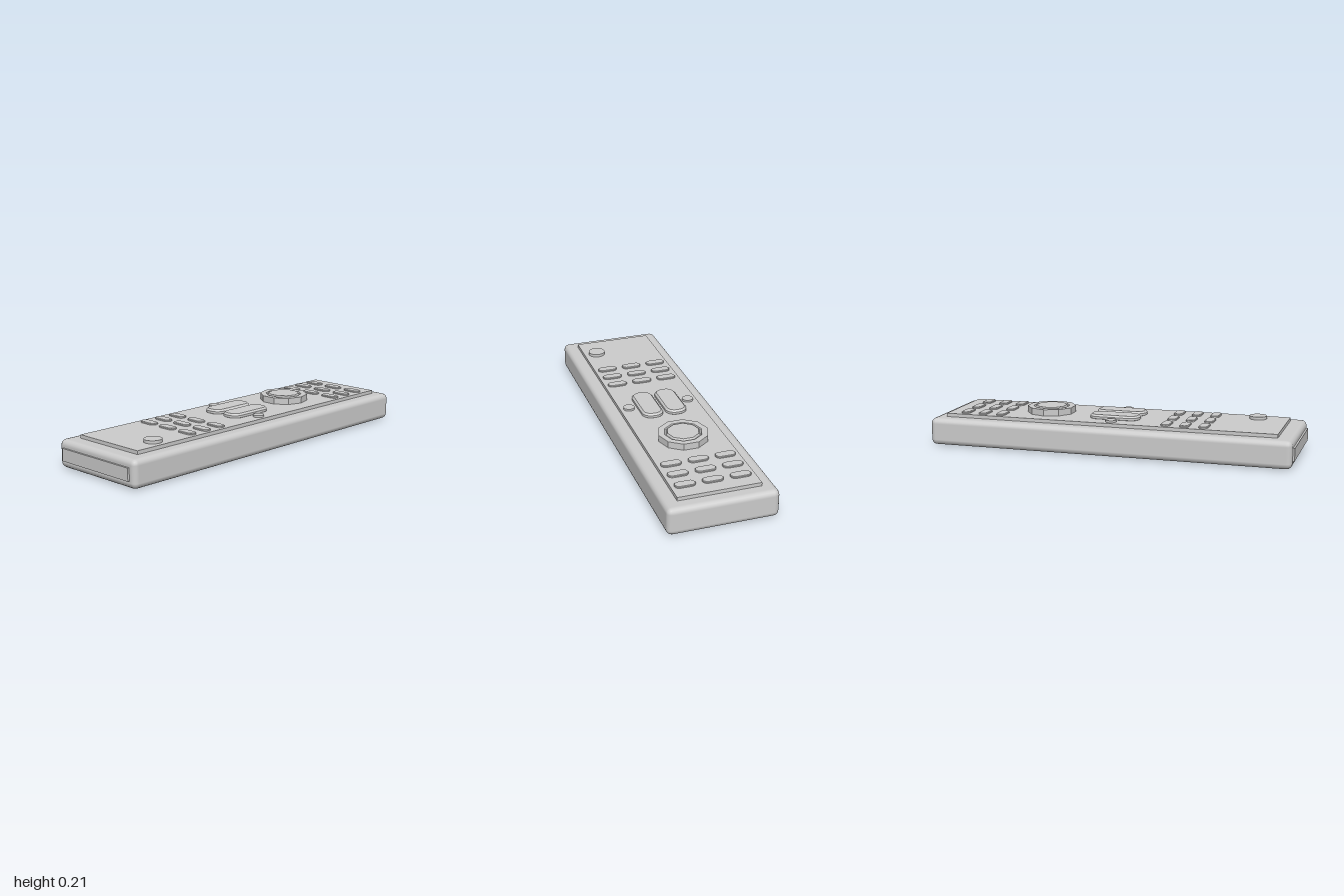
import * as THREE from 'three';
import { RoundedBoxGeometry } from 'three/addons/geometries/RoundedBoxGeometry.js';
import { toCreasedNormals } from 'three/addons/utils/BufferGeometryUtils.js';

const material = new THREE.MeshStandardMaterial({ color: 0xcccccc });

function add(group, name, geometry, x, y, z) {
  const mesh = new THREE.Mesh(geometry, material);
  mesh.name = name;
  mesh.position.set(x, y, z);
  group.add(mesh);
  return mesh;
}

// Rounded-rectangle key lying flat, from y = 0 to y = h, with a bevelled rim
function keyGeometry(w, d, r, h, bevel) {
  const a = w / 2 - bevel, b = d / 2 - bevel, c = r - bevel;
  const s = new THREE.Shape();
  s.absarc(a - c, b - c, c, 0, Math.PI / 2);
  s.absarc(-a + c, b - c, c, Math.PI / 2, Math.PI);
  s.absarc(-a + c, -b + c, c, Math.PI, Math.PI * 1.5);
  s.absarc(a - c, -b + c, c, Math.PI * 1.5, Math.PI * 2);
  s.closePath();
  const g = new THREE.ExtrudeGeometry(s, {
    depth: h - 2 * bevel, curveSegments: 6,
    bevelThickness: bevel, bevelSize: bevel, bevelSegments: 1,
  });
  g.translate(0, 0, bevel).rotateX(-Math.PI / 2);
  return toCreasedNormals(g, 0.5);
}

export function createModel() {
  const model = new THREE.Group();
  model.name = 'remoteControl';
  const remote = new THREE.Group();
  remote.name = 'remote';
  remote.rotation.y = 0.008; // lies very slightly askew
  model.add(remote);

  // Case, raised keypad panel, end window and battery cover
  add(remote, 'body', new RoundedBoxGeometry(0.576, 0.148, 1.986, 2, 0.03), 0, 0.079, -0.005);
  add(remote, 'keypadPanel', new THREE.BoxGeometry(0.434, 0.032, 1.833), 0, 0.156, -0.011);
  add(remote, 'endWindow', new THREE.BoxGeometry(0.5, 0.067, 0.03), 0, 0.079, 0.983);
  add(remote, 'batteryCover', new THREE.BoxGeometry(0.372, 0.02, 0.83), 0, 0.012, -0.475);

  // Two blocks of nine small keys
  const smallKey = keyGeometry(0.108, 0.05, 0.025, 0.018, 0.003);
  for (const z of [-0.83, -0.727, -0.625, 0.306, 0.407, 0.509]) {
    for (const x of [-0.144, 0, 0.144]) add(remote, 'smallKey', smallKey, x, 0.163, z);
  }

  // Ten-sided dial with a groove around its centre button
  const profile = [
    [0.133, 0.165], [0.133, 0.207], [0.1, 0.207], [0.097, 0.2],
    [0.09, 0.2], [0.084, 0.211], [0, 0.211],
  ].map(([r, y]) => new THREE.Vector2(r, y));
  const dialGeometry = toCreasedNormals(new THREE.LatheGeometry(profile, 10), 0.3);
  add(remote, 'dial', dialGeometry, -0.003, 0, -0.389).rotation.y = Math.PI / 2;

  // Pair of long rocker keys, each with a round key beside it
  const rocker = keyGeometry(0.116, 0.276, 0.05, 0.032, 0.01);
  const roundKey = new THREE.CylinderGeometry(0.03, 0.03, 0.02, 20);
  for (const side of [-1, 1]) {
    add(remote, 'rockerKey', rocker, side * 0.066, 0.163, 0);
    add(remote, 'roundKey', roundKey, side * 0.168, 0.173, 0.005);
  }

  // Single large key near the front
  add(remote, 'powerKey', new THREE.CylinderGeometry(0.047, 0.047, 0.026, 24), 0.144, 0.175, 0.741);

  return model;
}
